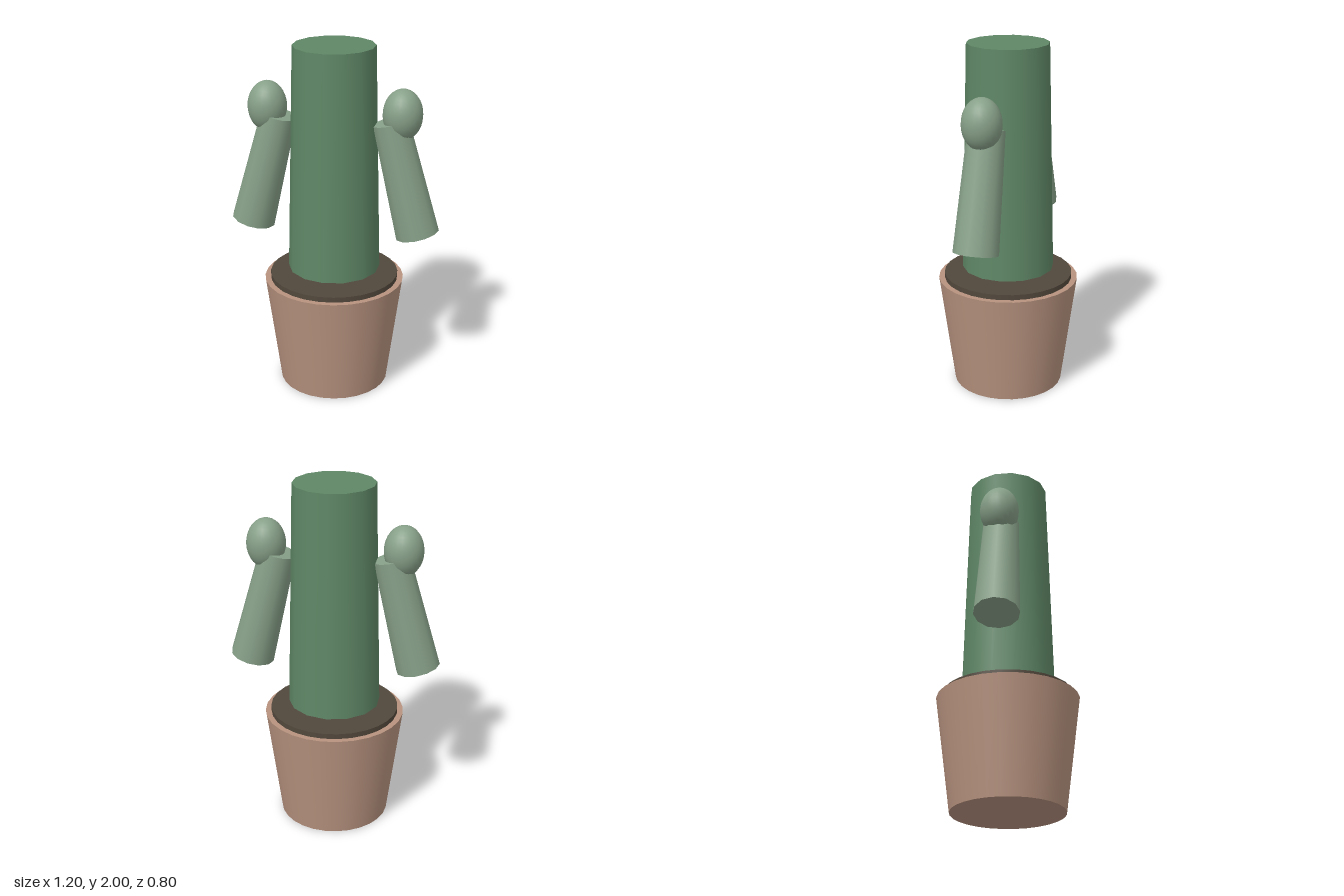
import * as THREE from 'three';

const material = (name, color) => {
  const m = new THREE.MeshStandardMaterial({ color });
  m.name = name;
  return m;
};

export function createModel() {
  const clay = material('clay', 0xb8937f);
  const earth = material('earth', 0x52483c);
  const trunkGreen = material('trunkGreen', 0x5f8766);
  const armGreen = material('armGreen', 0x87a088);

  const group = new THREE.Group();
  group.name = 'pottedCactus';

  const add = (name, geometry, mat, x, y) => {
    const mesh = new THREE.Mesh(geometry, mat);
    mesh.name = name;
    mesh.position.set(x, y, 0);
    group.add(mesh);
    return mesh;
  };
  // Tapered cylinder standing between two heights
  const taper = (name, rTop, rBottom, y0, y1, sides, mat) =>
    add(name, new THREE.CylinderGeometry(rTop, rBottom, y1 - y0, sides), mat, 0, (y0 + y1) / 2);

  // Pot, soil and trunk
  taper('pot', 0.4, 0.315, 0, 0.645, 28, clay);
  taper('soil', 0.367, 0.367, 0.61, 0.675, 28, earth);
  taper('trunk', 0.228, 0.262, 0.71, 2, 14, trunkGreen);

  // Mirrored arms leaning towards the trunk, each with an egg-shaped bud
  const armGeometry = new THREE.CylinderGeometry(0.102, 0.126, 0.663, 12);
  const budGeometry = new THREE.SphereGeometry(0.11, 24, 16).scale(1, 1.3, 1);
  for (const [label, side] of [['left', 1], ['right', -1]]) {
    add(label + 'Arm', armGeometry, armGreen, side * 0.3975, 1.273).rotation.z = side * 0.25;
    add(label + 'Bud', budGeometry, armGreen, side * 0.382, 1.638);
  }

  return group;
}
